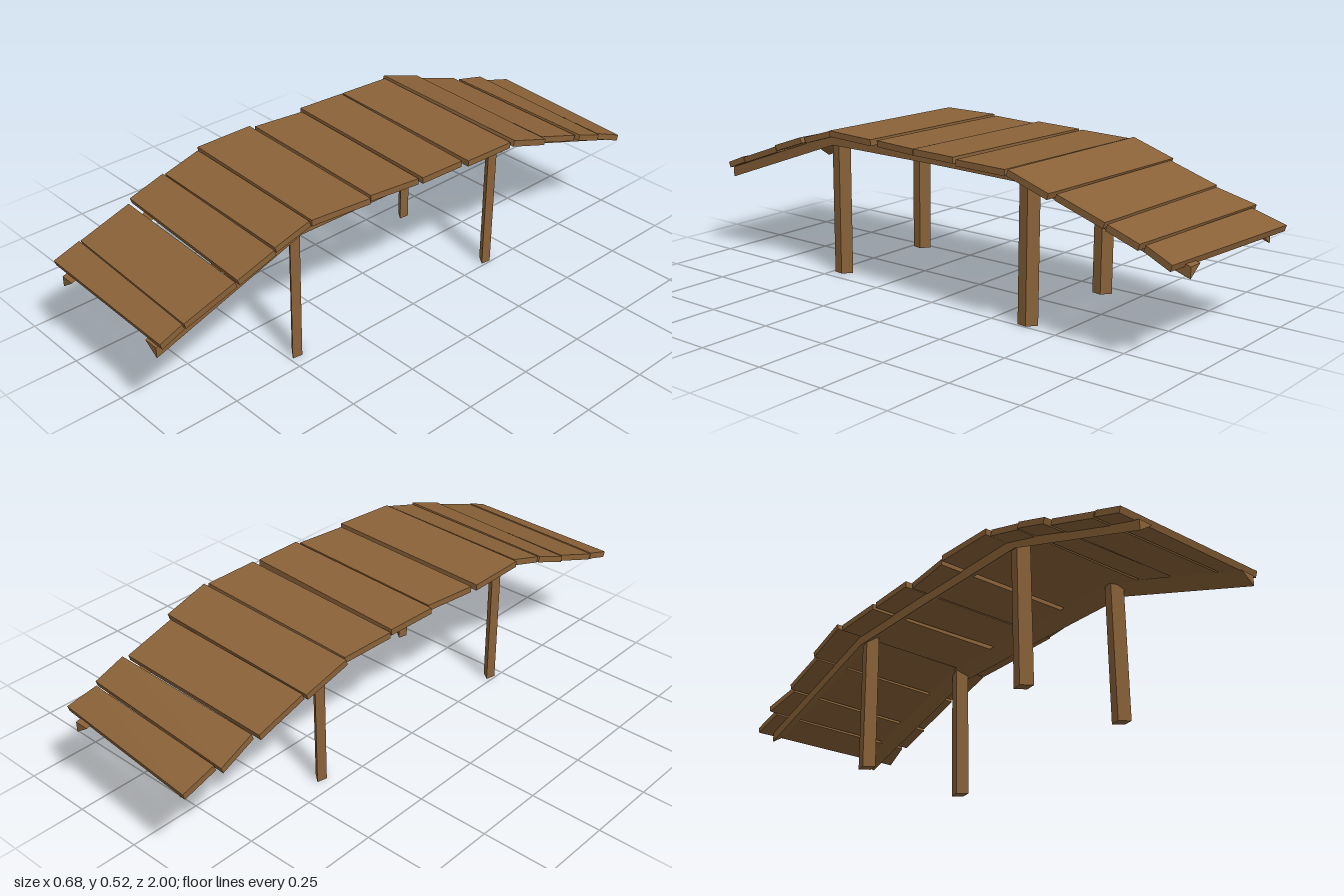
import * as THREE from 'three';

// Height of the walking surface along the bridge
const PROFILE = [[-1, 0.32], [-0.39, 0.512], [0, 0.517], [0.46, 0.517], [1, 0.325]];
function deckY(z) {
  let i = 0;
  while (i < PROFILE.length - 2 && z > PROFILE[i + 1][0]) i++;
  const [z0, y0] = PROFILE[i], [z1, y1] = PROFILE[i + 1];
  return y0 + (y1 - y0) * (z - z0) / (z1 - z0);
}

// Solid skinned over rings of [x, y, z] points, flat shaded, with end caps
function loft(rings) {
  const n = rings[0].length, last = rings.length - 1, tris = [];
  for (let r = 0; r < last; r++) {
    for (let i = 0; i < n; i++) {
      const j = (i + 1) % n;
      const a = rings[r][i], b = rings[r][j], c = rings[r + 1][j], d = rings[r + 1][i];
      tris.push([a, b, c], [a, c, d]);
    }
  }
  for (let i = 1; i < n - 1; i++) {
    tris.push([rings[0][0], rings[0][i + 1], rings[0][i]]);
    tris.push([rings[last][0], rings[last][i], rings[last][i + 1]]);
  }
  // Turn the faces outward when the rings were listed the other way round
  const v = (p) => new THREE.Vector3(...p);
  const volume = tris.reduce((s, [a, b, c]) => s + v(a).dot(v(b).cross(v(c))), 0);
  if (volume < 0) tris.forEach((t) => t.reverse());
  const geometry = new THREE.BufferGeometry();
  geometry.setAttribute('position', new THREE.Float32BufferAttribute(tris.flat(2), 3));
  geometry.computeVertexNormals();
  return geometry;
}

// Planks: back-left x, z, back-right x, z, front-right x, z, front-left x, z
const PLANKS = [
  [-0.255, -1.0, 0.33, -0.95, 0.31, -0.85, -0.255, -0.88],
  [-0.285, -0.88, 0.325, -0.84, 0.325, -0.73, -0.27, -0.745],
  [-0.29, -0.735, 0.315, -0.715, 0.31, -0.54, -0.295, -0.56],
  [-0.31, -0.56, 0.335, -0.53, 0.33, -0.375, -0.32, -0.4],
  [-0.305, -0.39, 0.325, -0.36, 0.32, -0.165, -0.315, -0.195],
  [-0.31, -0.185, 0.31, -0.145, 0.305, 0.025, -0.32, -0.005],
  [-0.3, 0.005, 0.295, 0.035, 0.27, 0.215, -0.325, 0.19],
  [-0.335, 0.205, 0.285, 0.23, 0.26, 0.445, -0.335, 0.42],
  [-0.32, 0.43, 0.255, 0.45, 0.25, 0.58, -0.325, 0.56],
  [-0.33, 0.565, 0.26, 0.59, 0.255, 0.725, -0.34, 0.69],
  [-0.325, 0.705, 0.25, 0.73, 0.24, 0.91, -0.333, 0.885],
  [-0.333, 0.89, 0.24, 0.915, 0.24, 0.995, -0.333, 0.985],
];
const THICK = 0.021;

function plankGeometry([ax, az, bx, bz, cx, cz, dx, dz], lift) {
  const zBack = (az + bz) / 2, zFront = (cz + dz) / 2;
  const yBack = deckY(zBack) + lift, yFront = deckY(zFront) + lift;
  const slope = Math.atan2(yFront - yBack, zFront - zBack);
  const top = [[ax, yBack, az], [bx, yBack, bz], [cx, yFront, cz], [dx, yFront, dz]];
  const bottom = top.map(([x, y, z]) =>
    [x, y - THICK * Math.cos(slope), z + THICK * Math.sin(slope)]);
  return loft([bottom, top]);
}

// Bent rail of triangular section with its upright face outward
function railGeometry(side, xFront, xBack) {
  const stations = [-0.97, -0.39, 0, 0.46, 0.995];
  return loft(stations.map((z) => {
    const x = xBack + (xFront - xBack) * (z + 1) / 2;
    const y = deckY(z) - 0.018;
    return [
      [x - side * 0.026, y, z],
      [x + side * 0.026, y, z],
      [x + side * 0.026, y - 0.036, z],
    ];
  }));
}

// Slim four-sided post, turned a little and leaning slightly at the top
function postGeometry(x, z) {
  const section = [[-0.02, 0.005], [0.015, 0.03], [0.02, -0.005], [-0.012, -0.03]];
  const ring = (y, dz) => section.map(([px, pz]) => [x + px, y, z + pz + dz]);
  return loft([ring(0, 0), ring(deckY(z) - 0.022, -0.004)]);
}

export function createModel() {
  const group = new THREE.Group();
  group.name = 'footbridge';
  const wood = new THREE.MeshStandardMaterial({ color: 0x8a6238 });
  wood.name = 'brown wood';
  const add = (name, geometry) => {
    const mesh = new THREE.Mesh(geometry, wood);
    mesh.name = name;
    group.add(mesh);
  };

  // Deck of uneven planks
  PLANKS.forEach((p, i) => add(`plank${i + 1}`, plankGeometry(p, i % 2 ? 0.003 : 0)));

  // Rails under the deck
  add('rightRail', railGeometry(-1, -0.245, -0.18));
  add('leftRail', railGeometry(1, 0.192, 0.238));

  // Four posts
  add('frontRightPost', postGeometry(-0.224, 0.46));
  add('frontLeftPost', postGeometry(0.19, 0.46));
  add('backRightPost', postGeometry(-0.187, -0.378));
  add('backLeftPost', postGeometry(0.225, -0.378));

  return group;
}
